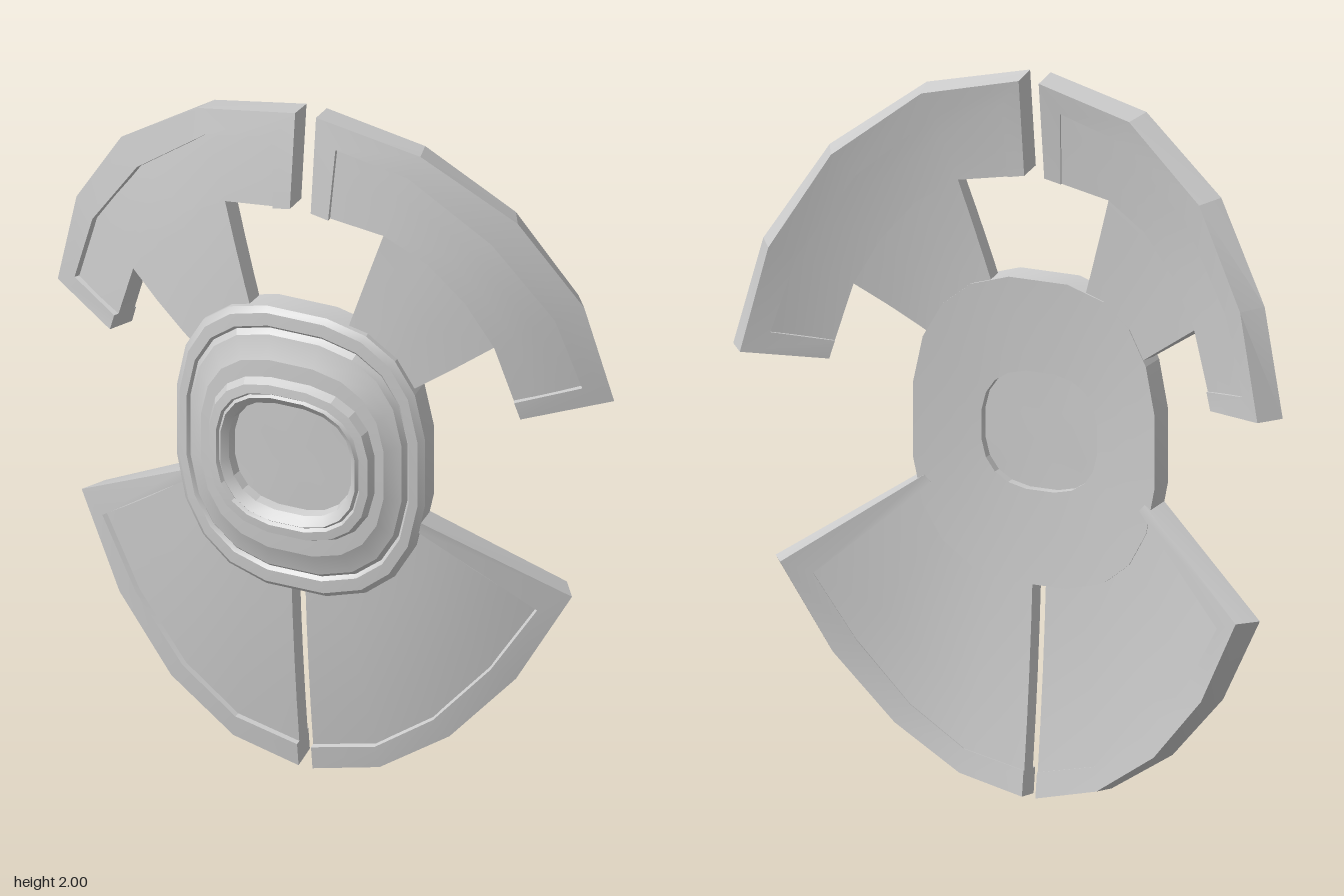
import * as THREE from 'three';
import { toCreasedNormals } from 'three/addons/utils/BufferGeometryUtils.js';

const material = new THREE.MeshStandardMaterial({ color: 0xcccccc, side: THREE.DoubleSide });

// Domed shield surface: height at (x, y) and its unit normal
const dome = (x, y) => 0.15 - 0.46 * Math.abs(x) ** 2.3 - 0.075 * (y - 1) ** 2;
const domeNormal = (x, y) =>
  new THREE.Vector3(Math.sign(x) * 1.058 * Math.abs(x) ** 1.3, 0.15 * (y - 1), 1).normalize();
const onDome = (x, y, lift) => new THREE.Vector3(x, y, dome(x, y)).addScaledVector(domeNormal(x, y), lift);

function meshFromQuads(name, quads) {
  const points = quads.flatMap(([a, b, c, d]) => [a, b, c, a, c, d]);
  const geometry = new THREE.BufferGeometry().setFromPoints(points);
  const mesh = new THREE.Mesh(toCreasedNormals(geometry, 0.3), material);
  mesh.name = name;
  return mesh;
}

// Curved slab spanning two matching polylines a and b, mirrored by side
function slab(name, side, a, b, top, bottom, steps) {
  const rows = a.map(([ax, ay], i) => {
    const [bx, by] = b[i];
    const line = (lift) => Array.from({ length: steps + 1 }, (_, k) => {
      const t = k / steps;
      return onDome(side * (ax + (bx - ax) * t), ay + (by - ay) * t, lift);
    });
    return [...line(top), ...line(bottom).reverse()];
  });
  const count = 2 * (steps + 1);
  const quads = [];
  for (let i = 0; i < rows.length - 1; i++) {
    for (let k = 0; k < count; k++) {
      const n = (k + 1) % count;
      quads.push([rows[i][k], rows[i + 1][k], rows[i + 1][n], rows[i][n]]);
    }
  }
  // end caps
  const first = rows[0], last = rows[rows.length - 1];
  for (let k = 0; k < steps; k++) {
    const m = count - 1 - k;
    quads.push([first[k], first[k + 1], first[m - 1], first[m]]);
    quads.push([last[k], last[m], last[m - 1], last[k + 1]]);
  }
  const u = rows[1][0].clone().sub(rows[0][0]);
  const v = rows[0][steps].clone().sub(rows[0][0]);
  if (u.x * v.y - u.y * v.x < 0) quads.forEach((q) => q.reverse());
  return meshFromQuads(name, quads);
}

// Stepped oval boss with a recessed plate on both faces
function hub() {
  const sides = 20, power = 2 / 2.6;
  // half width, half height, lift above the dome; from back centre to front centre
  const profile = [
    [0, 0, -0.05], [0.17, 0.165, -0.05], [0.17, 0.165, -0.075], [0.26, 0.3, -0.075],
    [0.355, 0.425, -0.075], [0.36, 0.43, 0], [0.345, 0.415, 0.012], [0.322, 0.378, 0.012],
    [0.315, 0.368, 0.002], [0.305, 0.355, 0.016], [0.285, 0.325, 0.022], [0.265, 0.29, 0.034],
    [0.25, 0.265, 0.034], [0.24, 0.24, 0.034], [0.23, 0.228, 0.056], [0.208, 0.203, 0.058],
    [0.202, 0.196, 0.048], [0.195, 0.19, 0.056], [0.177, 0.165, 0.036], [0.17, 0.16, 0.012],
    [0, 0, 0.012],
  ];
  const bend = (c) => Math.sign(c) * Math.abs(c) ** power;
  const rings = profile.map(([rx, ry, lift]) => Array.from({ length: sides }, (_, j) => {
    const angle = ((j + 0.5) / sides) * Math.PI * 2;
    const x = rx * bend(Math.cos(angle)), y = 1.003 + ry * bend(Math.sin(angle));
    return new THREE.Vector3(x, y, dome(x, y) + lift);
  }));
  const quads = [];
  for (let i = 0; i < rings.length - 1; i++) {
    for (let j = 0; j < sides; j++) {
      const n = (j + 1) % sides;
      quads.push([rings[i][j], rings[i][n], rings[i + 1][n], rings[i + 1][j]]);
    }
  }
  return meshFromQuads('hub', quads);
}

function upperPanel(side) {
  const group = new THREE.Group();
  group.name = side > 0 ? 'upperPanelLeft' : 'upperPanelRight';
  const rimOuter = [[0.03, 1.725], [0.03, 2], [0.32, 1.935], [0.57, 1.75], [0.73, 1.49], [0.8, 1.2], [0.59, 1.17]];
  const rimInner = [[0.08, 1.715], [0.09, 1.92], [0.29, 1.87], [0.51, 1.69], [0.665, 1.46], [0.73, 1.25], [0.575, 1.22]];
  const bandInner = [[0.08, 1.715], [0.23, 1.69], [0.35, 1.62], [0.45, 1.51], [0.525, 1.38], [0.575, 1.22]];
  const bandOuter = [[0.09, 1.92], [0.29, 1.87], [0.51, 1.69], [0.6, 1.56], [0.665, 1.46], [0.73, 1.25]];
  const spokeRoot = [[0.125, 1.35], [0.18, 1.32], [0.23, 1.27], [0.26, 1.205]];
  group.add(
    slab('upperRim', side, rimOuter, rimInner, 0, -0.075, 1),
    slab('upperBand', side, bandInner, bandOuter, -0.015, -0.07, 3),
    slab('upperSpoke', side, spokeRoot, bandInner.slice(1, 5), -0.015, -0.07, 3),
  );
  return group;
}

function lowerPanel(side) {
  const group = new THREE.Group();
  group.name = side > 0 ? 'lowerPanelLeft' : 'lowerPanelRight';
  const rimOuter = [[0.34, 0.85], [0.705, 0.61], [0.57, 0.36], [0.4, 0.17], [0.21, 0.045], [0.02, 0]];
  const rimInner = [[0.32, 0.83], [0.625, 0.575], [0.51, 0.39], [0.36, 0.22], [0.2, 0.11], [0.02, 0.07]];
  const root = [[0.32, 0.83], [0.27, 0.74], [0.2, 0.68], [0.12, 0.63], [0.02, 0.6]];
  group.add(
    slab('lowerRim', side, rimOuter, rimInner, 0, -0.075, 1),
    slab('lowerField', side, root, rimInner.slice(1), -0.015, -0.07, 4),
  );
  return group;
}

export function createModel() {
  const model = new THREE.Group();
  model.name = 'shield';
  model.add(hub());
  for (const side of [1, -1]) model.add(upperPanel(side), lowerPanel(side));
  return model;
}
